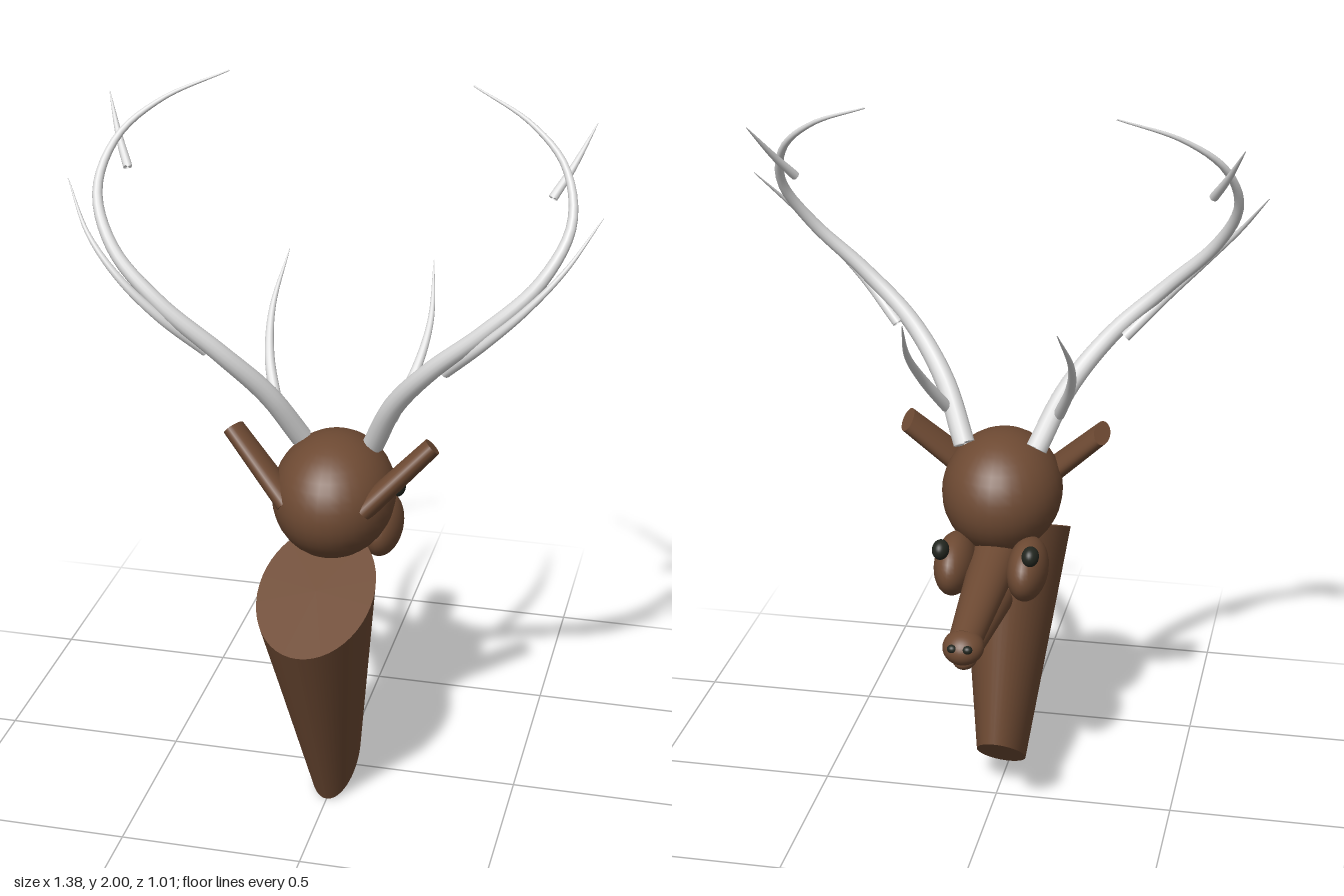
import * as THREE from 'three';

const mat = (name, color) => {
  const m = new THREE.MeshStandardMaterial({ color });
  m.name = name;
  return m;
};
const V = (x, y, z) => new THREE.Vector3(x, y, z);

export function createModel() {
  const group = new THREE.Group();
  const fur = mat('brown fur', 0x6e4a33);
  const bone = mat('pale antler', 0xdcdcdc);
  const dark = mat('dark eye', 0x22261f);

  const add = (name, geo, material) => {
    const mesh = new THREE.Mesh(geo, material);
    mesh.name = name;
    group.add(mesh);
    return mesh;
  };

  const ellipsoid = (name, c, r, material = fur) => {
    const mesh = add(name, new THREE.SphereGeometry(1, 32, 20), material);
    mesh.position.set(...c);
    mesh.scale.set(...r);
    return mesh;
  };

  // Capped cone from a to b, flattened by wx and wz across its axis
  const limb = (name, a, b, ra, rb, wx = 1, wz = 1) => {
    const d = b.clone().sub(a);
    const geo = new THREE.CylinderGeometry(rb, ra, d.length(), 32);
    geo.scale(wx, 1, wz);
    const mesh = add(name, geo, fur);
    mesh.position.copy(a).add(b).multiplyScalar(0.5);
    mesh.quaternion.setFromUnitVectors(V(0, 1, 0), d.normalize());
    return mesh;
  };

  // Curved tube tapering from r0 to r1, its first ring closed as a cap
  const tine = (name, pts, r0, r1, power) => {
    const curve = new THREE.CatmullRomCurve3(pts);
    const seg = 48, sides = 14;
    const geo = new THREE.TubeGeometry(curve, seg, 1, sides, false);
    const pos = geo.attributes.position;
    const v = V(0, 0, 0);
    for (let i = 0; i <= seg; i++) {
      const c = curve.getPointAt(i / seg);
      const target = i === 1 ? curve.getPointAt(0) : c;
      const r = i === 0 ? 0 : r1 + (r0 - r1) * (1 - Math.pow(i / seg, power));
      for (let j = 0; j <= sides; j++) {
        const k = i * (sides + 1) + j;
        v.fromBufferAttribute(pos, k).sub(c).multiplyScalar(r).add(target);
        pos.setXYZ(k, v.x, v.y, v.z);
      }
    }
    return add(name, geo, bone);
  };

  // Neck: oval column with slanted ends
  const neck = new THREE.CylinderGeometry(1, 1, 2, 48);
  const p = neck.attributes.position;
  for (let i = 0; i < p.count; i++) {
    const x = p.getX(i), z = p.getZ(i);
    if (p.getY(i) > 0) p.setXYZ(i, 0.155 * x, 0.72 - 0.09 * z, 0.2975 + 0.2075 * z);
    else p.setXYZ(i, 0.068 * x, 0.09 - 0.09 * z, 0.075 + 0.115 * z);
  }
  neck.computeVertexNormals();
  add('neck', neck, fur);

  // Head, muzzle and jaw
  ellipsoid('skull', [0, 0.91, 0.09], [0.165, 0.17, 0.2]);
  limb('muzzle', V(0, 0.75, 0), V(0, 0.695, -0.44), 0.068, 0.042);
  ellipsoid('nose', [0, 0.69, -0.445], [0.054, 0.045, 0.058]);
  limb('jaw', V(0, 0.63, -0.025), V(0, 0.645, -0.41), 0.05, 0.029);
  ellipsoid('chin', [0, 0.648, -0.425], [0.032, 0.026, 0.045]);

  for (const s of [1, -1]) {
    const side = s > 0 ? 'left' : 'right';
    const path = (...pts) => pts.map(([x, y, z]) => V(s * x, y, z));

    ellipsoid(side + 'Cheek', [s * 0.1, 0.75, -0.07], [0.055, 0.083, 0.115]);
    ellipsoid(side + 'Eye', [s * 0.122, 0.825, -0.155], [0.023, 0.027, 0.031], dark);
    ellipsoid(side + 'Nostril', [s * 0.02, 0.705, -0.491], [0.013, 0.011, 0.012], dark);
    limb(side + 'Ear', V(s * 0.1, 0.915, 0.19), V(s * 0.27, 1.085, 0.115), 0.036, 0.03, 0.85, 1.55);

    // Antler: main beam and three tines
    tine(side + 'AntlerBeam', path(
      [0.1, 1.05, 0.055], [0.17, 1.2, 0.135], [0.28, 1.34, 0.21], [0.42, 1.47, 0.243],
      [0.55, 1.6, 0.215], [0.612, 1.73, 0.14], [0.58, 1.85, 0.055], [0.48, 1.935, -0.015],
      [0.32, 2.0, -0.09]), 0.03, 0.002, 1.2);
    tine(side + 'BrowTine', path(
      [0.155, 1.14, 0.09], [0.2, 1.25, -0.005], [0.217, 1.35, -0.105], [0.2, 1.475, -0.23]),
      0.016, 0.001, 1.5);
    tine(side + 'MiddleTine', path(
      [0.315, 1.335, 0.2], [0.42, 1.44, 0.255], [0.52, 1.54, 0.265], [0.61, 1.64, 0.23],
      [0.69, 1.755, 0.14]), 0.015, 0.001, 1.5);
    tine(side + 'TopTine', path(
      [0.553, 1.772, 0.065], [0.592, 1.835, 0.01], [0.64, 1.93, -0.07]), 0.012, 0.001, 1.5);
  }
  return group;
}
